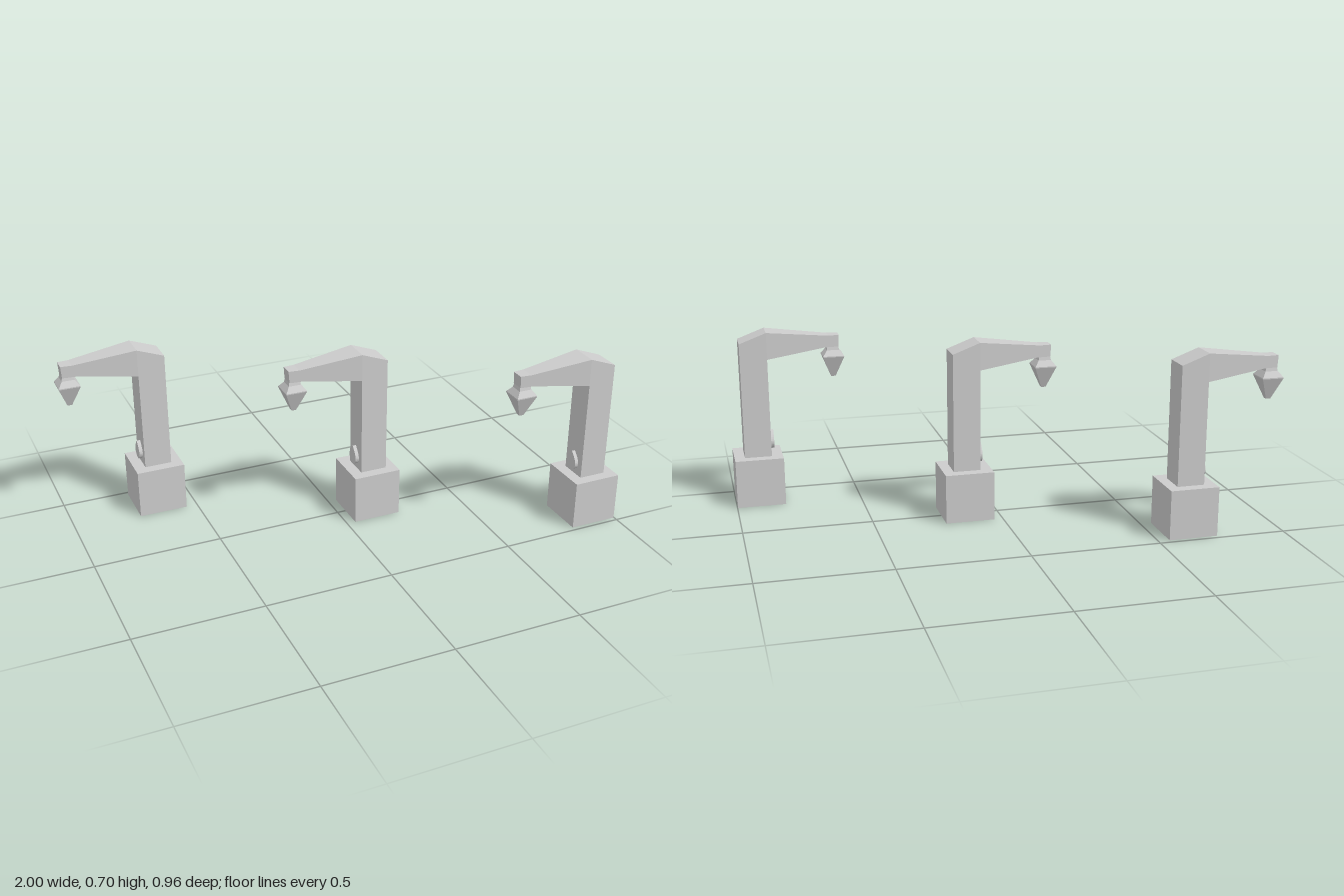
import * as THREE from 'three';

const material = new THREE.MeshStandardMaterial({ color: 0xcccccc, flatShading: true });

function mesh(name, geometry) {
  const m = new THREE.Mesh(geometry, material);
  m.name = name;
  return m;
}

// Side profile in x/y, widened in z by a half-width rule of x
function profileSolid(points, halfWidth) {
  const shape = new THREE.Shape(points.map(([x, y]) => new THREE.Vector2(x, y)));
  const geo = new THREE.ExtrudeGeometry(shape, { depth: 2, bevelEnabled: false });
  const p = geo.attributes.position;
  for (let i = 0; i < p.count; i++) p.setZ(i, (p.getZ(i) - 1) * halfWidth(p.getX(i)));
  geo.computeVertexNormals();
  return geo;
}

function createCrane() {
  const crane = new THREE.Group();

  // Square foot
  const base = mesh('base', new THREE.BoxGeometry(0.192, 0.194, 0.192));
  base.position.y = 0.097;
  crane.add(base);

  // Upright column with a sloping top
  crane.add(mesh('post', profileSolid(
    [[-0.052, 0.194], [0.055, 0.194], [0.055, 0.66], [-0.052, 0.7]], () => 0.054)));

  // Arm narrowing towards its tip
  crane.add(mesh('arm', profileSolid(
    [[-0.052, 0.592], [-0.052, 0.7], [-0.298, 0.671], [-0.342, 0.671], [-0.339, 0.624], [-0.285, 0.624]],
    x => 0.054 + (x + 0.052) * 0.1)));

  // Four-sided flared nozzle under the tip
  const r = Math.SQRT2;
  const nozzlePoints = [[0, 0.5], [0.009, 0.5], [0.042, 0.584], [0.042, 0.588], [0.025, 0.61], [0.021, 0.628]]
    .map(([h, y]) => new THREE.Vector2(h * r, y));
  const nozzle = mesh('nozzle', new THREE.LatheGeometry(nozzlePoints, 4, Math.PI / 4));
  nozzle.position.x = -0.317;
  crane.add(nozzle);

  // Drop-shaped button on the column, below the arm
  const drop = new THREE.Shape();
  drop.moveTo(0, 0.045);
  drop.quadraticCurveTo(-0.03, 0.015, -0.03, -0.002);
  drop.absarc(0, -0.002, 0.03, Math.PI, Math.PI * 2, false);
  drop.quadraticCurveTo(0.03, 0.015, 0, 0.045);
  const button = mesh('button', new THREE.ExtrudeGeometry(drop, { depth: 0.015, bevelEnabled: false, curveSegments: 6 }));
  button.rotation.y = -Math.PI / 2;
  button.position.set(-0.051, 0.246, 0);
  crane.add(button);

  return crane;
}

export function createModel() {
  const model = new THREE.Group();
  model.name = 'craneRow';
  // Three identical units set out on a diagonal
  for (let i = -1; i <= 1; i++) {
    const crane = createCrane();
    crane.name = ['backCrane', 'middleCrane', 'frontCrane'][i + 1];
    crane.position.set(0.131 + i * 0.771, 0, i * 0.386);
    model.add(crane);
  }
  return model;
}
